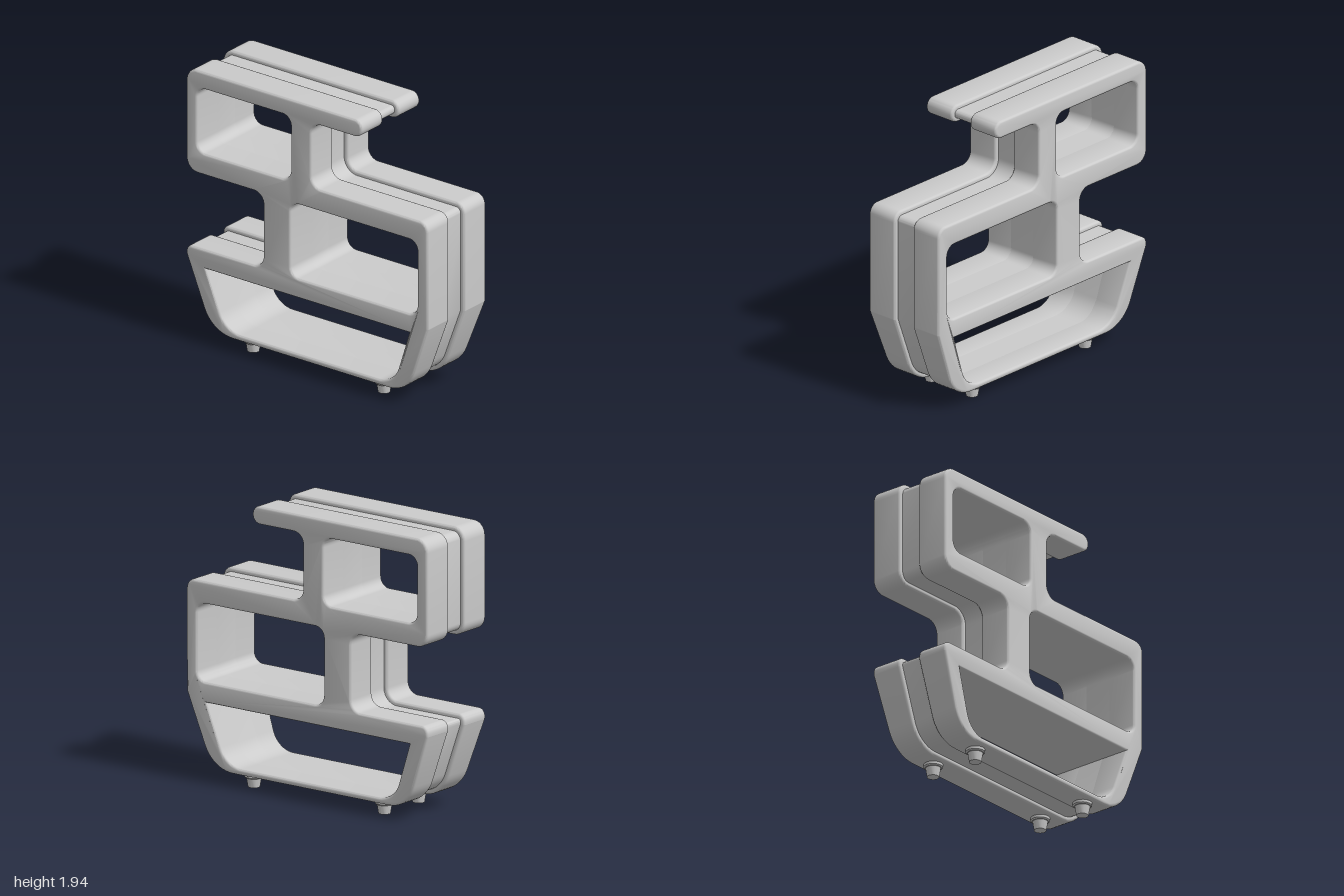
import * as THREE from 'three';
import { toCreasedNormals } from 'three/addons/utils/BufferGeometryUtils.js';

// Corners as [z, y, radius], counter-clockwise
const OUTLINE = [
  [0.455, 1.818, 0.06], [0.455, 1.94, 0.06],       // overhanging lip
  [-0.995, 1.94, 0.09], [-0.995, 1.208, 0.09],     // upper block, back
  [-0.36, 1.208, 0.08], [-0.36, 0.68, 0.08],       // back recess
  [-0.995, 0.68, 0.05], [-0.995, 0.61, 0.03],      // lower ledge
  [-0.81, 0.088, 0.24], [0.81, 0.088, 0.24],       // tub bottom
  [1, 0.6, 0.02], [1, 1.36, 0.07],                 // middle block, front
  [0.037, 1.36, 0.08], [0.037, 1.818, 0.08],       // front recess
];
const HOLES = [
  [[-0.134, 1.36, 0.07], [-0.134, 1.818, 0.07], [-0.906, 1.818, 0.07], [-0.906, 1.36, 0.07]],
  [[0.911, 0.68, 0.07], [0.911, 1.208, 0.07], [-0.134, 1.208, 0.07], [-0.134, 0.68, 0.07]],
  [[0.695, 0.13, 0.18], [0.84, 0.54, 0], [-0.84, 0.54, 0], [-0.695, 0.13, 0.18]],
];

// Traces a polygon with rounded corners, optionally inset to the left of its edges
function trace(path, corners, inset = 0) {
  const n = corners.length;
  const pts = corners.map(([u, v]) => new THREE.Vector2(u, v));
  const dirs = pts.map((p, i) => pts[(i + 1) % n].clone().sub(p).normalize());
  corners.forEach((c, i) => {
    const a = dirs[(i + n - 1) % n], b = dirs[i];
    const miter = new THREE.Vector2(-a.y - b.y, a.x + b.x).multiplyScalar(inset / (1 + a.dot(b)));
    const p = pts[i].clone().add(miter);
    const turn = a.cross(b);
    const r = Math.max(0, c[2] - Math.sign(turn) * inset);
    const angle = Math.abs(Math.atan2(turn, a.dot(b)));
    const t = r * Math.tan(angle / 2);
    const start = p.clone().addScaledVector(a, -t);
    if (i === 0) path.moveTo(start.x, start.y);
    else path.lineTo(start.x, start.y);
    if (t < 1e-4) return;
    const k = (4 / 3) * Math.tan(angle / 4) * r;
    const end = p.clone().addScaledVector(b, t);
    const c1 = start.clone().addScaledVector(a, k), c2 = end.clone().addScaledVector(b, -k);
    path.bezierCurveTo(c1.x, c1.y, c2.x, c2.y, end.x, end.y);
  });
  path.closePath();
  return path;
}

function frameShape(inset) {
  const shape = trace(new THREE.Shape(), OUTLINE, inset);
  shape.holes = HOLES.map((h) => trace(new THREE.Path(), h));
  return shape;
}

// Extrudes the frame across x, centred on xMid
function slab(inset, width, xMid, bevel) {
  const geo = new THREE.ExtrudeGeometry(frameShape(inset), {
    depth: width - 2 * bevel, curveSegments: 10,
    bevelEnabled: bevel > 0, bevelSize: bevel, bevelThickness: bevel,
    bevelOffset: -bevel, bevelSegments: 3,
  });
  geo.translate(0, 0, -(width - 2 * bevel) / 2);
  geo.rotateY(-Math.PI / 2);
  geo.translate(xMid, 0, 0);
  return geo;
}

// Draws the outer faces inwards towards the bottom
function taper(geo) {
  const pos = geo.attributes.position;
  for (let i = 0; i < pos.count; i++) {
    const x = pos.getX(i), y = pos.getY(i);
    if (Math.abs(x) > 0.2 && y < 0.62) pos.setX(i, x * (1 - 0.19 * (0.62 - y)));
  }
  return geo;
}

export function createModel() {
  const group = new THREE.Group();
  const material = new THREE.MeshStandardMaterial({ color: 0xcccccc });
  const add = (name, geo) => {
    const mesh = new THREE.Mesh(toCreasedNormals(geo, 0.6), material);
    mesh.name = name;
    group.add(mesh);
    return mesh;
  };

  // Two bevelled frames joined by a recessed core
  add('leftFrame', taper(slab(0, 0.23, 0.195, 0.017)));
  add('rightFrame', taper(slab(0, 0.23, -0.195, 0.017)));
  add('core', slab(0.03, 0.2, 0, 0));

  // Flanged feet
  const footProfile = [[0, 0], [0.04, 0], [0.05, 0.062], [0.056, 0.062], [0.064, 0.07], [0.064, 0.095], [0, 0.095]]
    .map(([r, y]) => new THREE.Vector2(r, y));
  for (const x of [-0.18, 0.18]) {
    for (const z of [-0.54, 0.54]) {
      add('foot', new THREE.LatheGeometry(footProfile, 24)).position.set(x, 0, z);
    }
  }
  return group;
}
